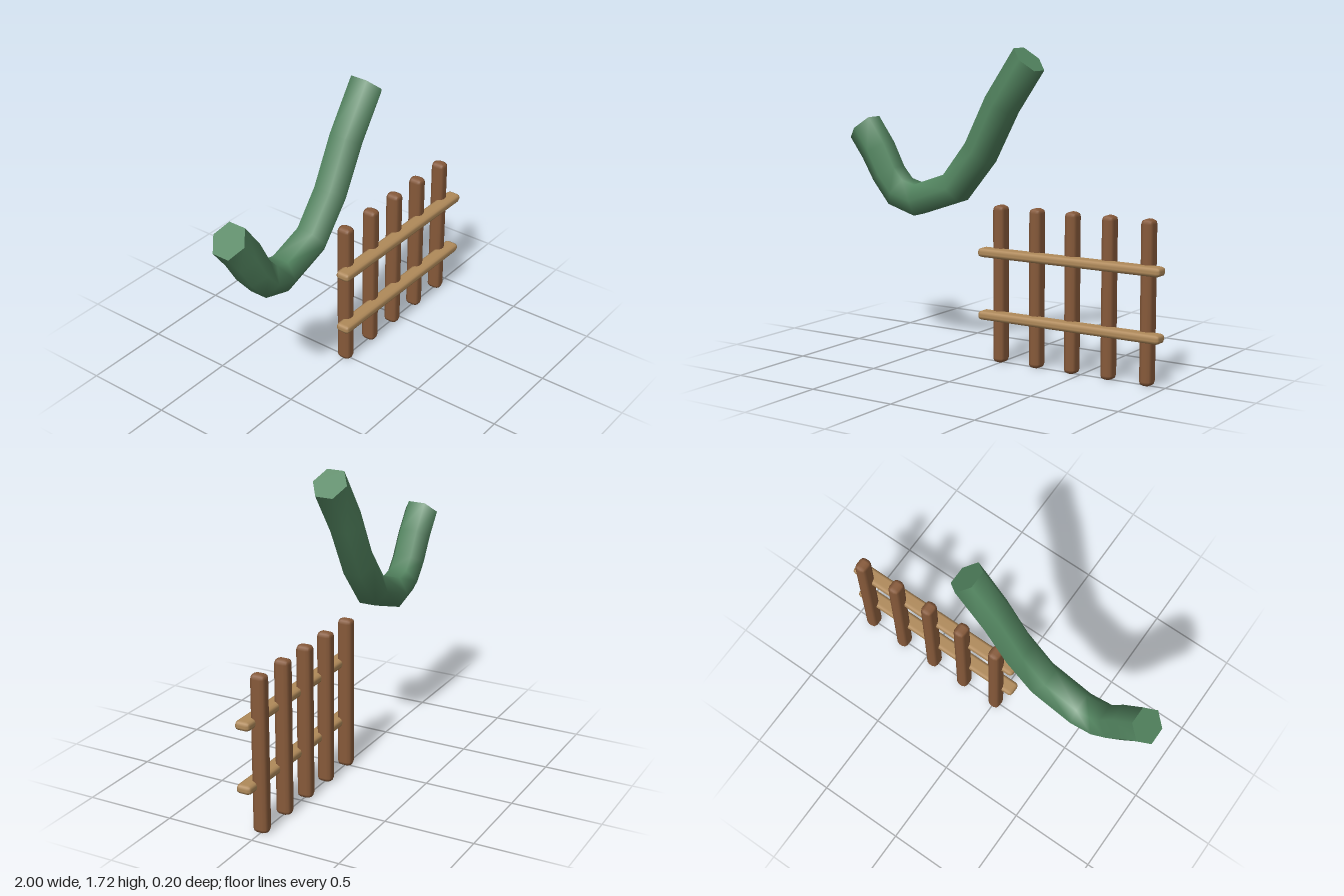
import * as THREE from 'three';
import { RoundedBoxGeometry } from 'three/addons/geometries/RoundedBoxGeometry.js';

const mat = (name, color) => {
  const m = new THREE.MeshStandardMaterial({ color });
  m.name = name;
  return m;
};

// Six-sided stem: each row is the underside point and upper-side point of one ring
const STEM_RINGS = [
  [-1.0, 1.19, -0.87, 1.31],
  [-0.915, 1.077, -0.765, 1.167],
  [-0.84, 0.953, -0.695, 1.033],
  [-0.733, 0.825, -0.637, 0.968],
  [-0.556, 0.772, -0.556, 0.947],
  [-0.257, 0.873, -0.353, 1.017],
  [-0.07, 1.097, -0.208, 1.198],
  [0.075, 1.37, -0.075, 1.456],
  [0.235, 1.6, 0.107, 1.718],
];

function stemGeometry() {
  const sides = 6, radius = 0.1, positions = [], index = [];
  const addRing = ([x0, y0, x1, y1]) => {
    for (let j = 0; j < sides; j++) {
      const a = (j / sides) * Math.PI * 2;
      const s = Math.sin(a) / Math.sin(Math.PI / 3) / 2;
      positions.push((x0 + x1) / 2 + (x1 - x0) * s, (y0 + y1) / 2 + (y1 - y0) * s, Math.cos(a) * radius);
    }
  };
  STEM_RINGS.forEach(addRing);
  for (let i = 0; i < STEM_RINGS.length - 1; i++) {
    for (let j = 0; j < sides; j++) {
      const k = (j + 1) % sides;
      const a = i * sides + j, b = a + sides, c = i * sides + k, d = c + sides;
      index.push(a, b, c, b, d, c);
    }
  }
  // Flat end caps with their own corners, so the rims stay sharp
  const start = STEM_RINGS.length * sides, end = start + sides;
  addRing(STEM_RINGS[0]);
  addRing(STEM_RINGS[STEM_RINGS.length - 1]);
  for (let j = 1; j < sides - 1; j++) {
    index.push(start, start + j, start + j + 1);
    index.push(end, end + j + 1, end + j);
  }
  const g = new THREE.BufferGeometry();
  g.setAttribute('position', new THREE.Float32BufferAttribute(positions, 3));
  g.setIndex(index);
  g.computeVertexNormals();
  return g;
}

export function createModel() {
  const group = new THREE.Group();
  const green = mat('stemGreen', 0x538560);
  const darkWood = mat('postBrown', 0x875a3a);
  const lightWood = mat('railTan', 0xb08a5a);

  const add = (parent, name, geometry, material, x = 0, y = 0, z = 0) => {
    const mesh = new THREE.Mesh(geometry, material);
    mesh.name = name;
    mesh.position.set(x, y, z);
    parent.add(mesh);
  };

  // Curved stem
  add(group, 'curvedStem', stemGeometry(), green);

  // Fence: upright posts with two rails across the front
  const fence = new THREE.Group();
  fence.name = 'fence';
  group.add(fence);
  const postGeo = new RoundedBoxGeometry(0.07, 0.87, 0.085, 1, 0.025);
  [-0.005, 0.225, 0.445, 0.667, 0.895].forEach((x, i) =>
    add(fence, `post${i + 1}`, postGeo, darkWood, x, 0.435, 0));
  const railGeo = new RoundedBoxGeometry(1.105, 0.05, 0.085, 1, 0.02);
  add(fence, 'lowerRail', railGeo, lightWood, 0.4475, 0.265, 0.047);
  add(fence, 'upperRail', railGeo, lightWood, 0.4475, 0.612, 0.047);

  return group;
}
